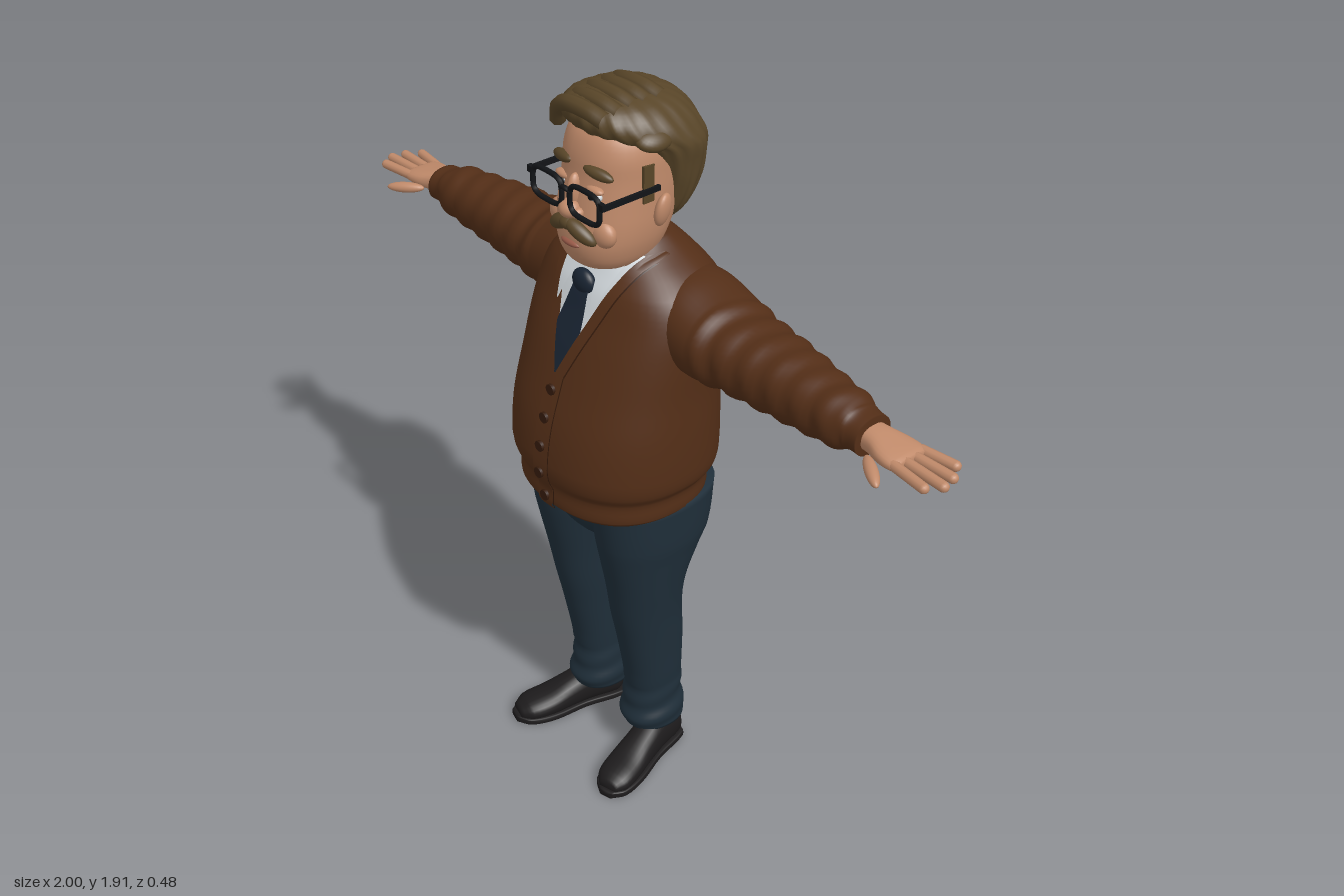
import * as THREE from 'three';

const mat = (name, color, side = THREE.FrontSide) => {
  const m = new THREE.MeshStandardMaterial({ color, side });
  m.name = name;
  return m;
};
const V = (x, y, z) => new THREE.Vector3(x, y, z);
const lerp = THREE.MathUtils.lerp;

// Smooth interpolation of section rows [t, centre, radius, zFront, zBack]
function sample(rows, t) {
  let i = 0;
  while (i < rows.length - 2 && t > rows[i + 1][0]) i++;
  const slope = (j, k) => {
    const a = rows[Math.max(j - 1, 0)], b = rows[Math.min(j + 1, rows.length - 1)];
    return (b[k] - a[k]) / (b[0] - a[0]);
  };
  const p = rows[i], q = rows[i + 1], h = q[0] - p[0], u = (t - p[0]) / h;
  return p.map((_, k) => k === 0 ? t :
    (2 * u ** 3 - 3 * u * u + 1) * p[k] + (u ** 3 - 2 * u * u + u) * h * slope(i, k) +
    (3 * u * u - 2 * u ** 3) * q[k] + (u ** 3 - u * u) * h * slope(i + 1, k));
}

// Superellipse loft along y, or along x when alongX is set
function loft(rows, { alongX = false, n = 2.2, seg = 40, sub = 4, ripple = () => 0 } = {}) {
  const pos = [], idx = [], rings = (rows.length - 1) * sub + 1;
  const put = (t, r, z) => alongX ? pos.push(t, r, z) : pos.push(r, t, z);
  const tri = (a, b, c) => alongX ? idx.push(a, c, b) : idx.push(a, b, c);
  const pw = (v) => Math.sign(v) * Math.abs(v) ** (2 / n);
  for (let k = 0; k < rings; k++) {
    const i = Math.min(Math.floor(k / sub), rows.length - 2);
    const [t, c, r, zf, zb] = sample(rows, lerp(rows[i][0], rows[i + 1][0], k / sub - i));
    for (let j = 0; j < seg; j++) {
      const a = j / seg * Math.PI * 2, g = 1 + ripple(t, a);
      put(t, c + pw(Math.cos(a)) * r * g, (zf + zb) / 2 + pw(Math.sin(a)) * (zf - zb) / 2 * g);
    }
  }
  for (let k = 0; k < rings - 1; k++) for (let j = 0; j < seg; j++) {
    const a = k * seg + j, b = k * seg + (j + 1) % seg;
    tri(a, a + seg, b);
    tri(b, a + seg, b + seg);
  }
  [rows[0], rows[rows.length - 1]].forEach(([t, c, , zf, zb], end) => {
    const m = pos.length / 3, o = end * (rings - 1) * seg;
    put(t, c, (zf + zb) / 2);
    for (let j = 0; j < seg; j++) {
      const a = o + j, b = o + (j + 1) % seg;
      end ? tri(m, b, a) : tri(m, a, b);
    }
  });
  return grid(pos, idx);
}
function grid(pos, idx) {
  const g = new THREE.BufferGeometry();
  g.setAttribute('position', new THREE.Float32BufferAttribute(pos, 3));
  g.setIndex(idx);
  g.computeVertexNormals();
  return g;
}
function mirror(geo) {
  const g = geo.clone().scale(-1, 1, 1), a = g.index.array;
  for (let i = 0; i < a.length; i += 3) [a[i], a[i + 1]] = [a[i + 1], a[i]];
  return g;
}
const ball = (rx, ry, rz, x, y, z, tilt = 0, turn = 0) =>
  new THREE.SphereGeometry(1, 24, 16).scale(rx, ry, rz).rotateZ(tilt).rotateY(turn).translate(x, y, z);
const box = (w, h, d, x, y, z) => new THREE.BoxGeometry(w, h, d).translate(x, y, z);
const tube = (pts, r, closed = false) =>
  new THREE.TubeGeometry(new THREE.CatmullRomCurve3(pts, closed), 32, r, 8, closed);

const TORSO = [
  [0.86, 0, 0.222, 0.205, -0.185], [0.875, 0, 0.236, 0.217, -0.2], [0.925, 0, 0.238, 0.217, -0.203],
  [0.955, 0, 0.256, 0.23, -0.222], [1.0, 0, 0.262, 0.234, -0.228], [1.1, 0, 0.262, 0.22, -0.225],
  [1.2, 0, 0.258, 0.19, -0.222], [1.3, 0, 0.26, 0.155, -0.225], [1.38, 0, 0.258, 0.12, -0.225],
  [1.44, 0, 0.235, 0.095, -0.215], [1.48, 0, 0.188, 0.07, -0.19], [1.52, 0, 0.125, 0.045, -0.157],
  [1.55, 0, 0.09, 0.015, -0.125]];

// Front surface depth of the torso, used to lay clothing details on it
function frontZ(x, y) {
  const [, , r, zf, zb] = sample(TORSO, y);
  return (zf + zb) / 2 + (zf - zb) / 2 * Math.max(0, 1 - Math.abs(x / r) ** 2.3) ** (1 / 2.3);
}
function patch(x0, x1, y0, y1, off, nx = 8, ny = 24) {
  const pos = [], idx = [];
  for (let i = 0; i <= ny; i++) for (let j = 0; j <= nx; j++) {
    const y = lerp(y0, y1, i / ny), x = lerp(x0(y), x1(y), j / nx), a = i * (nx + 1) + j;
    pos.push(x, y, frontZ(x, y) + off);
    if (i < ny && j < nx) idx.push(a, a + 1, a + nx + 1, a + 1, a + nx + 2, a + nx + 1);
  }
  return grid(pos, idx);
}

export function createModel() {
  const model = new THREE.Group();
  const D = THREE.DoubleSide;
  const skin = mat('skin', 0xc08a6a), hair = mat('hair', 0x584528), wool = mat('brown wool', 0x532e17, D);
  const seam = mat('dark seam', 0x351b0c, D), shirt = mat('white shirt', 0xcfd5d9, D);
  const navy = mat('navy tie', 0x192432, D), denim = mat('trouser blue', 0x1f2e39);
  const leather = mat('shoe leather', 0x1d1b1c), frame = mat('glasses black', 0x121417), lip = mat('lip', 0x985a48);
  const add = (name, geo, m) => {
    const mesh = new THREE.Mesh(geo, m);
    mesh.name = name;
    model.add(mesh);
  };
  const pair = (name, geo, m) => { add(name + 'Left', geo, m); add(name + 'Right', mirror(geo), m); };

  // Cardigan body and sleeves
  add('cardigan', loft(TORSO, { n: 2.3, seg: 56 }), wool);
  pair('sleeve', loft([
    [0.12, 1.385, 0.1, 0.02, -0.2], [0.2, 1.37, 0.112, 0.04, -0.212], [0.28, 1.357, 0.103, 0.042, -0.208],
    [0.36, 1.352, 0.09, 0.03, -0.195], [0.5, 1.35, 0.083, 0.015, -0.172], [0.64, 1.35, 0.07, 0.008, -0.145],
    [0.71, 1.352, 0.062, 0.004, -0.13], [0.74, 1.352, 0.048, -0.006, -0.118], [0.772, 1.35, 0.046, -0.006, -0.114]],
  { alongX: true, sub: 8, ripple: (x, a) => x > 0.3 && x < 0.73 ? 0.04 * Math.sin(x * 85 + 1.2 * Math.sin(a * 2)) : 0 }), wool);

  // Shirt, collar, tie and neckline band
  const vee = (y) => 0.1 * (y - 1.23) / 0.27;
  add('shirtFront', patch((y) => -vee(y), vee, 1.23, 1.53, 0.004), shirt);
  const up = (y) => (y - 1.39) / 0.14;
  pair('shirtCollar', patch((y) => lerp(0.058, 0.02, up(y)), (y) => lerp(0.062, 0.095, up(y)), 1.39, 1.53, 0.016), shirt);
  const tieHalf = (y) => Math.min(vee(y), y > 1.33 ? lerp(0.045, 0.026, (y - 1.33) / 0.11) : 0.045);
  add('tieBlade', patch((y) => -tieHalf(y), tieHalf, 1.235, 1.44, 0.01), navy);
  add('tieKnot', ball(0.036, 0.032, 0.02, 0, 1.447, frontZ(0, 1.447) + 0.006), navy);
  pair('neckBand', patch(vee, (y) => vee(y) + 0.027, 1.23, 1.525, 0.01), wool);
  pair('neckBandSeam', patch((y) => vee(y) + 0.027, (y) => vee(y) + 0.031, 1.23, 1.51, 0.006, 1), seam);

  // Button placket
  add('placket', patch(() => -0.022, () => 0.028, 0.865, 1.24, 0.01), wool);
  for (const x of [-0.025, 0.028]) add('placketSeam', patch(() => x, () => x + 0.003, 0.87, 1.23, 0.007, 1), seam);
  for (const y of [0.9, 0.975, 1.05, 1.125, 1.195])
    add('button', new THREE.CylinderGeometry(0.014, 0.014, 0.008, 16).rotateX(Math.PI / 2)
      .translate(0.004, y, frontZ(0, y) + 0.013), seam);

  // Hands
  pair('palm', loft([[0.75, 1.35, 0.03, -0.025, -0.095], [0.79, 1.35, 0.028, -0.02, -0.1],
    [0.83, 1.348, 0.023, -0.006, -0.112], [0.87, 1.346, 0.017, -0.004, -0.116], [0.885, 1.346, 0.011, -0.012, -0.11]],
  { alongX: true, n: 2.5, seg: 24 }), skin);
  [[-0.019, 0.975, -0.004], [-0.047, 0.998, -0.04], [-0.075, 0.99, -0.078], [-0.103, 0.965, -0.116]].forEach(([z, x, zt]) => {
    const dx = x - 0.86, dz = zt - z;
    const g = new THREE.CapsuleGeometry(0.0125, Math.hypot(dx, dz) - 0.02, 5, 10).rotateZ(-Math.PI / 2)
      .rotateY(-Math.atan2(dz, dx)).translate((0.86 + x) / 2, 1.347, (z + zt) / 2);
    pair('finger', g, skin);
  });
  pair('thumb', ball(0.052, 0.014, 0.015, 0.843, 1.333, 0.018, -0.08, -0.6), skin);

  // Trousers
  add('trouserSeat', loft([[0.71, 0, 0.06, 0.07, -0.1], [0.76, 0, 0.16, 0.125, -0.165],
    [0.82, 0, 0.22, 0.153, -0.19], [0.9, 0, 0.225, 0.165, -0.187]]), denim);
  pair('trouserLeg', loft([
    [0.1, 0.108, 0.07, 0.042, -0.122], [0.135, 0.107, 0.076, 0.05, -0.13], [0.18, 0.105, 0.07, 0.042, -0.12],
    [0.25, 0.107, 0.068, 0.04, -0.117], [0.4, 0.11, 0.073, 0.068, -0.115], [0.5, 0.112, 0.079, 0.09, -0.106],
    [0.6, 0.117, 0.088, 0.108, -0.11], [0.7, 0.12, 0.101, 0.13, -0.148], [0.76, 0.121, 0.11, 0.142, -0.175],
    [0.88, 0.12, 0.115, 0.157, -0.19]],
  { sub: 6, ripple: (y, a) => y < 0.26 ? 0.03 * Math.sin(y * 95 + 2 * Math.sin(a)) : 0 }), denim);

  // Shoes, toes turned outwards
  const place = (g) => g.rotateY(-(Math.PI / 2 - 0.27)).translate(0.112, 0, -0.108);
  pair('shoeUpper', place(loft([[0, 0.05, 0.035, 0.03, -0.03], [0.02, 0.055, 0.05, 0.043, -0.043],
    [0.1, 0.06, 0.055, 0.045, -0.043], [0.16, 0.049, 0.047, 0.049, -0.044], [0.22, 0.037, 0.035, 0.055, -0.048],
    [0.28, 0.03, 0.028, 0.05, -0.045], [0.31, 0.025, 0.016, 0.028, -0.025]], { alongX: true, seg: 24 })), leather);
  pair('shoeSole', place(loft([[-0.006, 0.01, 0.01, 0.025, -0.025], [0.01, 0.01, 0.01, 0.045, -0.045],
    [0.12, 0.01, 0.01, 0.046, -0.043], [0.22, 0.01, 0.01, 0.06, -0.053], [0.29, 0.01, 0.01, 0.05, -0.045],
    [0.32, 0.01, 0.01, 0.02, -0.018]], { alongX: true, n: 6, seg: 24 })), leather);

  // Head, neck, ears and nose
  add('neck', new THREE.CylinderGeometry(0.085, 0.085, 0.14, 28).translate(0, 1.52, -0.045), skin);
  add('head', loft([
    [1.487, 0, 0.055, 0.085, -0.06], [1.505, 0, 0.09, 0.118, -0.085], [1.55, 0, 0.113, 0.137, -0.11],
    [1.6, 0, 0.123, 0.137, -0.13], [1.66, 0, 0.125, 0.128, -0.15], [1.72, 0, 0.125, 0.117, -0.16],
    [1.78, 0, 0.122, 0.11, -0.16], [1.83, 0, 0.1, 0.085, -0.14], [1.86, 0, 0.05, 0.03, -0.09]], { n: 2.3 }), skin);
  pair('ear', ball(0.016, 0.042, 0.027, 0.139, 1.648, -0.018, -0.18, 0.35), skin);
  add('noseBridge', ball(0.016, 0.045, 0.022, 0, 1.685, 0.12), skin);
  add('noseTip', ball(0.027, 0.023, 0.027, 0, 1.648, 0.135), skin);
  pair('nostril', ball(0.015, 0.014, 0.018, 0.023, 1.643, 0.13), skin);
  pair('cheek', ball(0.04, 0.035, 0.025, 0.07, 1.6, 0.098), skin);
  add('lowerLip', ball(0.032, 0.009, 0.012, 0, 1.562, 0.134), lip);

  // Eyes, brows and moustache
  pair('eye', ball(0.024, 0.014, 0.012, 0.052, 1.69, 0.107), shirt);
  pair('pupil', ball(0.009, 0.01, 0.005, 0.05, 1.69, 0.117), frame);
  pair('upperLid', ball(0.028, 0.01, 0.014, 0.053, 1.704, 0.107), skin);
  pair('brow', ball(0.041, 0.014, 0.014, 0.062, 1.745, 0.104, -0.15, 0.25), hair);
  pair('moustache', ball(0.047, 0.019, 0.02, 0.036, 1.602, 0.135, -0.5, 0.3), hair);
  add('moustacheMiddle', ball(0.025, 0.017, 0.018, 0, 1.615, 0.142), hair);

  // Glasses
  const rim = Array.from({ length: 20 }, (_, i) => {
    const a = i / 20 * Math.PI * 2, p = (v) => Math.sign(v) * Math.abs(v) ** 0.55;
    return V(0.066 + 0.052 * p(Math.cos(a)), 1.683 + 0.036 * p(Math.sin(a)), 0.147);
  });
  pair('glassesRim', tube(rim, 0.0065, true), frame);
  add('glassesBridge', tube([V(-0.018, 1.698, 0.147), V(0, 1.704, 0.151), V(0.018, 1.698, 0.147)], 0.006), frame);
  pair('glassesTemple', box(0.008, 0.013, 0.165, 0.129, 1.7, 0.066), frame);
  pair('glassesHinge', box(0.018, 0.016, 0.012, 0.124, 1.702, 0.146), frame);

  // Hair mass with combed grooves
  add('hairCap', loft([
    [1.58, 0, 0.08, -0.06, -0.12], [1.62, 0, 0.113, -0.045, -0.155], [1.68, 0, 0.134, -0.03, -0.185],
    [1.74, 0, 0.145, -0.005, -0.202], [1.78, 0, 0.15, 0.025, -0.204], [1.81, -0.005, 0.148, 0.08, -0.197],
    [1.84, -0.012, 0.138, 0.105, -0.182], [1.87, -0.018, 0.112, 0.1, -0.15], [1.888, -0.02, 0.07, 0.075, -0.1],
    [1.897, -0.02, 0.02, 0.03, -0.04]],
  { seg: 96, ripple: (y, a) => 0.014 * Math.sin(22 * a + 25 * y) + 0.008 * Math.sin(9 * a - 30 * y) }), hair);
  pair('sideburn', box(0.012, 0.09, 0.03, 0.121, 1.715, 0.012), hair);

  // Swept locks over the forehead and a tuft beside the parting
  for (let i = 0; i < 5; i++) {
    const z = 0.095 - i * 0.04, y = 1.868 + Math.min(i, 2) * 0.006;
    add('sweptLock', tube([V(0.06, y - 0.005, z - 0.01), V(0.02, y + 0.008, z), V(-0.05, y + 0.004, z),
      V(-0.11, y - 0.03, z - 0.02), V(-0.14, y - 0.075, z - 0.04)], 0.02), hair);
  }
  add('sideTuft', ball(0.035, 0.022, 0.05, 0.115, 1.815, -0.01, -0.5), hair);
  return model;
}
